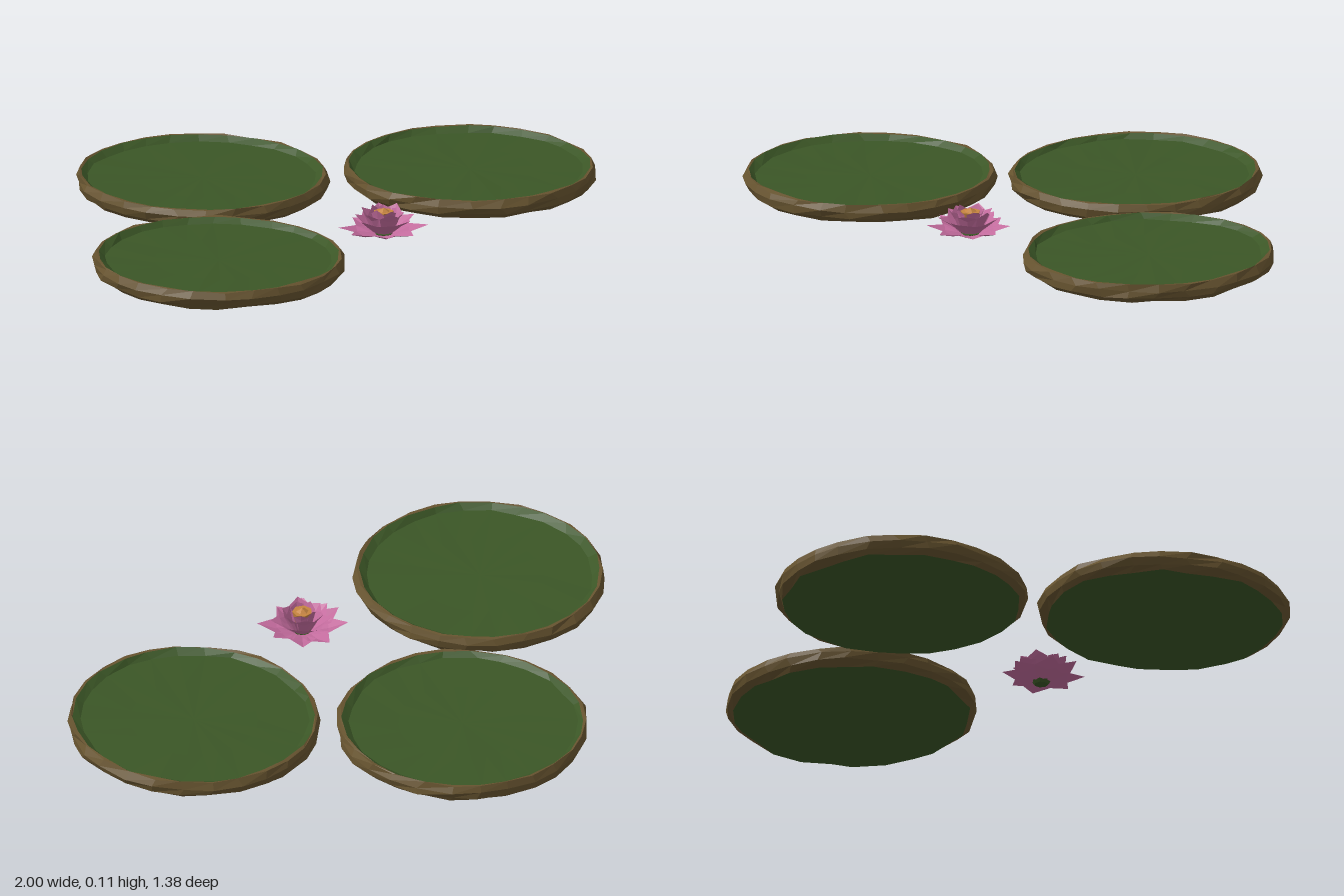
import * as THREE from 'three';

const green = new THREE.MeshStandardMaterial({ color: 0x3b5626 }); green.name = 'leafGreen';
const brown = new THREE.MeshStandardMaterial({ color: 0x66532f }); brown.name = 'rimBrown';
const pink = new THREE.MeshStandardMaterial({ color: 0xc46c9e }); pink.name = 'petalPink';
const orange = new THREE.MeshStandardMaterial({ color: 0xc58440 }); orange.name = 'stamenOrange';
for (const m of [green, brown, pink, orange]) m.flatShading = true;
pink.side = THREE.DoubleSide;

function seeded(seed) {
  return () => (seed = (seed * 16807) % 2147483647) / 2147483647;
}

// Rings from the underside centre, around the rim, to the top centre:
// radius, height, radius jitter, height jitter
const PROFILE = [
  [0, 0.004, 0, 0], [0.368, 0.008, 0.016, 0.008], [0.388, 0.024, 0.012, 0.006],
  [0.392, 0.046, 0.012, 0.006], [0.383, 0.067, 0.01, 0.007], [0.375, 0.067, 0.008, 0.005],
  [0.355, 0.051, 0.012, 0.003], [0.2, 0.049, 0, 0.002], [0, 0.048, 0, 0],
];
const SIDES = 26;

function padGeometry(seed) {
  const rand = seeded(seed);
  const rings = PROFILE.map(([r, y, jr, jy]) => Array.from({ length: SIDES }, (_, i) => {
    const a = (i + (r > 0.3 ? (rand() - 0.5) * 0.3 : 0)) / SIDES * Math.PI * 2;
    const rr = r + (rand() - 0.5) * jr;
    return [Math.cos(a) * rr, y + (rand() - 0.5) * jy, -Math.sin(a) * rr * 1.02];
  }));
  const pos = [];
  const geo = new THREE.BufferGeometry();
  for (let k = 0; k < rings.length - 1; k++) {
    const start = pos.length / 3;
    for (let i = 0; i < SIDES; i++) {
      const j = (i + 1) % SIDES;
      const a = rings[k], b = rings[k + 1];
      if (k > 0) pos.push(...a[i], ...a[j], ...b[j]);
      if (k < rings.length - 2) pos.push(...a[i], ...b[j], ...b[i]);
    }
    // brown on the outer wall and lip, green elsewhere
    geo.addGroup(start, pos.length / 3 - start, k >= 1 && k <= 4 ? 1 : 0);
  }
  // the underside fan has a single centre point, so its triangles are a[i], b[j], b[i]
  geo.setAttribute('position', new THREE.Float32BufferAttribute(pos, 3));
  geo.computeVertexNormals();
  return geo;
}

// Folded, pointed petal running outward along +x
function petalGeometry(inner, length, width, y0, yMid, yTip) {
  const xm = inner + length * 0.5, w = width / 2;
  const root = [inner, y0, 0], tip = [inner + length, yTip, 0], mid = [xm, yMid - 0.006, 0];
  const left = [xm, yMid + 0.006, -w], right = [xm, yMid + 0.006, w];
  const rl = [inner, y0 + 0.003, -w * 0.6], rr = [inner, y0 + 0.003, w * 0.6];
  const tris = [root, mid, left, root, left, rl, root, right, mid, root, rr, right,
    mid, tip, left, mid, right, tip];
  const geo = new THREE.BufferGeometry();
  geo.setAttribute('position', new THREE.Float32BufferAttribute(tris.flat(), 3));
  geo.computeVertexNormals();
  return geo;
}

function createFlower() {
  const flower = new THREE.Group();
  flower.name = 'flower';
  const rand = seeded(77);
  // layers from the spread outer petals to the closed inner ones
  const layers = [
    { name: 'outerPetal', n: 8, inner: 0.02, len: 0.11, w: 0.085, y0: 0.022, ym: 0.036, yt: 0.05 },
    { name: 'middlePetal', n: 7, inner: 0.03, len: 0.068, w: 0.075, y0: 0.03, ym: 0.062, yt: 0.082 },
    { name: 'innerPetal', n: 6, inner: 0.034, len: 0.034, w: 0.062, y0: 0.038, ym: 0.082, yt: 0.102 },
    { name: 'heartPetal', n: 5, inner: 0.028, len: 0.014, w: 0.046, y0: 0.05, ym: 0.09, yt: 0.106 },
  ];
  layers.forEach((l, k) => {
    for (let i = 0; i < l.n; i++) {
      const geo = petalGeometry(l.inner, l.len * (0.88 + rand() * 0.26), l.w, l.y0, l.ym, l.yt + (rand() - 0.5) * 0.012);
      const petal = new THREE.Mesh(geo, pink);
      petal.name = l.name;
      petal.rotation.y = (i + k * 0.5 + (rand() - 0.5) * 0.25) / l.n * Math.PI * 2;
      flower.add(petal);
    }
  });
  const stamen = new THREE.Mesh(new THREE.CylinderGeometry(0.032, 0.02, 0.05, 7), orange);
  stamen.name = 'stamen';
  stamen.position.y = 0.072;
  const bud = new THREE.Mesh(new THREE.ConeGeometry(0.02, 0.012, 6), orange);
  bud.name = 'stamenTip';
  bud.position.y = 0.103;
  const calyx = new THREE.Mesh(new THREE.CylinderGeometry(0.03, 0.022, 0.012, 7), green);
  calyx.name = 'calyx';
  calyx.position.y = 0.02;
  flower.add(stamen, bud, calyx);
  return flower;
}

export function createModel() {
  const model = new THREE.Group();
  model.name = 'lilyPads';
  const pads = [['leftPad', 0.602, 0.29, 11], ['rightPad', -0.608, 0.29, 523], ['backPad', -0.01, -0.29, 9041]];
  for (const [name, x, z, seed] of pads) {
    const pad = new THREE.Mesh(padGeometry(seed), [green, brown]);
    pad.name = name;
    pad.position.set(x, 0, z);
    model.add(pad);
  }
  const flower = createFlower();
  flower.position.set(-0.01, 0, 0.46);
  model.add(flower);
  return model;
}
